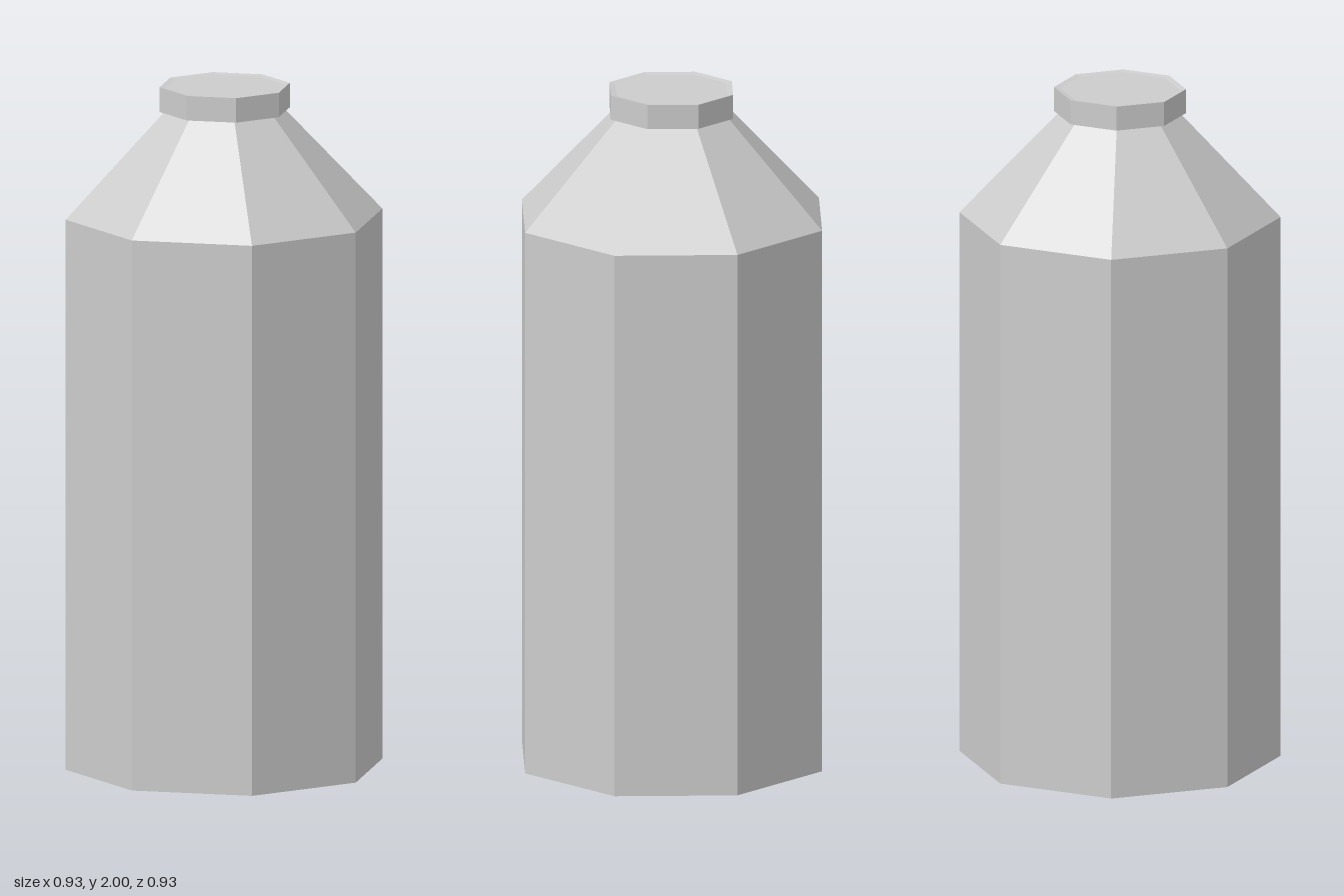
import * as THREE from 'three';

const SIDES = 8;

// Octagonal solid turned from a [radius, height] profile, listed bottom to top
function turned(name, profile, material) {
  const points = profile.map(([r, y]) => new THREE.Vector2(r, y));
  const mesh = new THREE.Mesh(new THREE.LatheGeometry(points, SIDES), material);
  mesh.name = name;
  return mesh;
}

export function createModel() {
  const grey = new THREE.MeshStandardMaterial({ color: 0xcccccc });
  grey.name = 'plain grey';
  grey.flatShading = true;

  const bottle = new THREE.Group();
  bottle.name = 'bottle';

  // Straight body with a closed base and sloping shoulder
  bottle.add(turned('body', [[0, 0], [0.464, 0], [0.464, 1.62], [0.172, 1.93], [0, 1.93]], grey));

  // Overhanging cap with a shallow dished top
  const cap = turned('cap', [[0, 1.928], [0.191, 1.928], [0.191, 2], [0.173, 1.997], [0, 1.997]], grey);
  cap.position.x = 0.002;
  bottle.add(cap);

  return bottle;
}
